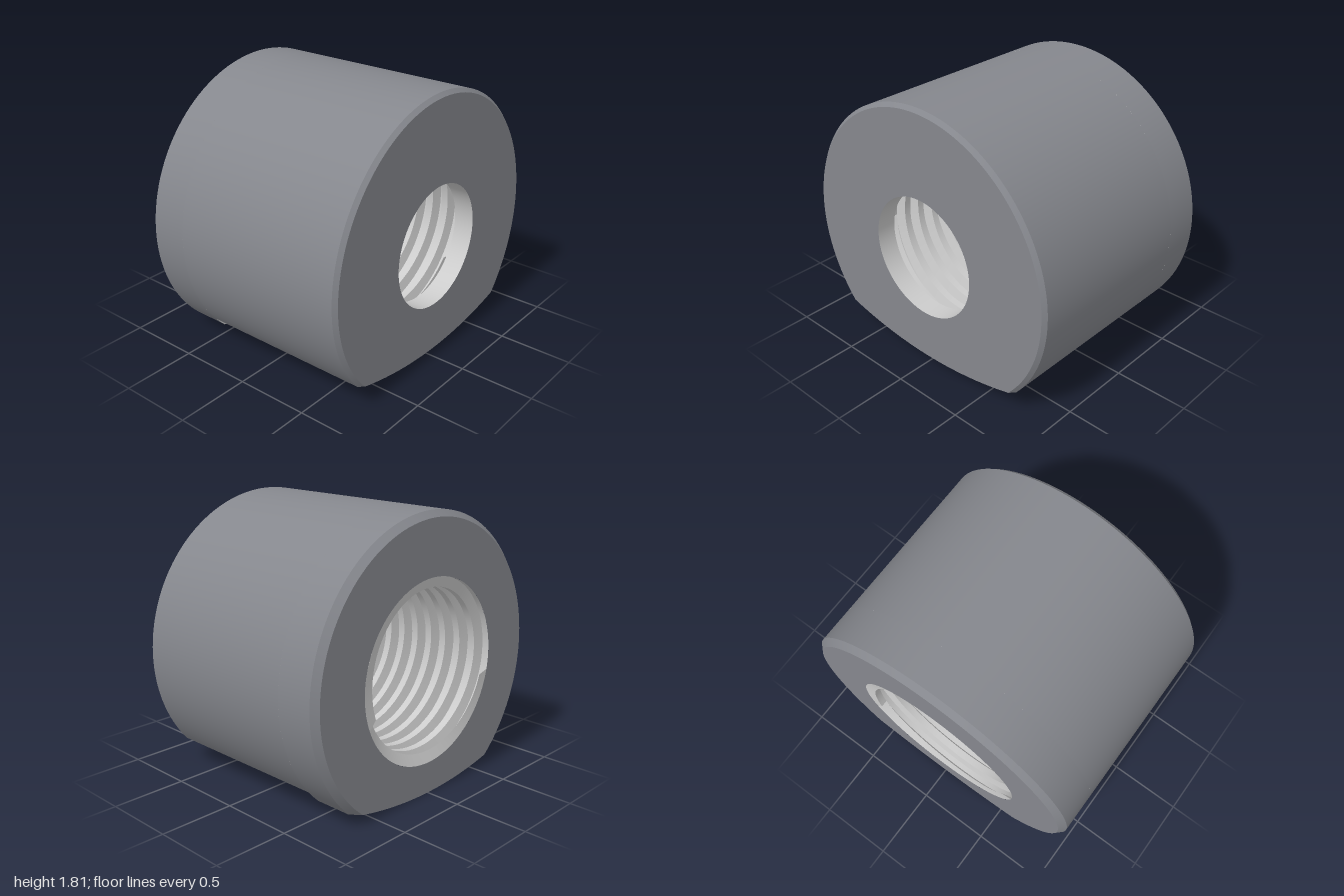
import * as THREE from 'three';
import { toCreasedNormals } from 'three/addons/utils/BufferGeometryUtils.js';

const AXIS_Y = 0.81;     // height of the bore axis
const HALF = 0.765;      // half length along x
const UNDER_R = 2.75;    // radius of the shallow underside
const LIP_R = 0.41, MINOR = 0.53, MAJOR = 0.6;
const LIP_X = 0.63, RELIEF_X = 0.55;

// Joins rings of [x, y, z] points into a surface.
function loft(rings, crease = 0.4) {
  const pos = rings.flat(2), n = rings[0].length, index = [];
  for (let i = 0; i < rings.length - 1; i++) {
    for (let j = 0; j < n - 1; j++) {
      const a = i * n + j, b = a + n;
      index.push(a, b, b + 1, a, b + 1, a + 1);
    }
  }
  const g = new THREE.BufferGeometry();
  g.setAttribute('position', new THREE.Float32BufferAttribute(pos, 3));
  g.setIndex(index);
  return toCreasedNormals(g, crease);
}

// Round outline cut off below by a shallow arc whose lowest point is at y = low.
function outline(x, r, low) {
  const d = UNDER_R + low - AXIS_Y;
  const cy = (r * r - UNDER_R * UNDER_R + d * d) / (2 * d);
  const cz = Math.sqrt(r * r - cy * cy);
  const start = Math.atan2(cy, cz), sweep = Math.PI - 2 * start;
  const pts = [];
  for (let i = 0; i <= 96; i++) {
    const t = start + sweep * i / 96;
    pts.push([x, AXIS_Y + r * Math.sin(t), r * Math.cos(t)]);
  }
  for (let i = 1; i <= 21; i++) {
    const z = -cz + 2 * cz * i / 21;
    pts.push([x, AXIS_Y + d - Math.sqrt(UNDER_R * UNDER_R - z * z), z]);
  }
  return pts;
}

// Circle whose points line up with the rays through an outline's points.
function hole(x, r, low = 0.06) {
  return outline(x, 1, low).map(([, y, z]) => {
    const t = Math.atan2(y - AXIS_Y, z);
    return [x, AXIS_Y + r * Math.sin(t), r * Math.cos(t)];
  });
}

// One ring of the screw thread, advancing by a pitch per turn.
function threadRing(x0, r, pitch) {
  const pts = [];
  for (let j = 0; j <= 96; j++) {
    const t = j / 96 * Math.PI * 2;
    const raw = x0 - pitch * j / 96;
    const x = THREE.MathUtils.clamp(raw, -HALF, RELIEF_X);
    const rr = raw === x ? r : MAJOR;
    pts.push([x, AXIS_Y + rr * Math.sin(t), rr * Math.cos(t)]);
  }
  return pts;
}

export function createModel() {
  const group = new THREE.Group();
  const dark = new THREE.MeshStandardMaterial({ color: 0x85878d });
  const light = new THREE.MeshStandardMaterial({ color: 0xcccccc });
  const add = (name, geometry, material) => {
    const mesh = new THREE.Mesh(geometry, material);
    mesh.name = name;
    group.add(mesh);
  };

  // Deeper end with its chamfer and raised underside pad
  add('padEnd', loft([
    hole(-HALF, MAJOR, 0), outline(-HALF, 0.96, 0),
    outline(-0.725, 1, 0), outline(-0.47, 1, 0),
  ]), dark);

  // Step down from the pad
  add('padStep', loft([outline(-0.47, 1, 0), outline(-0.47, 1, 0.06)]), light);

  // Main barrel, small chamfer and end face
  add('barrel', loft([
    outline(-0.47, 1, 0.06), outline(0.74, 1, 0.06),
    outline(HALF, 0.975, 0.06), hole(HALF, LIP_R),
  ]), dark);

  // Plain narrow bore, shoulder and thread relief
  add('boreLip', loft([
    hole(HALF, LIP_R), hole(LIP_X, LIP_R),
    hole(LIP_X, MAJOR), hole(RELIEF_X, MAJOR),
  ]), light);

  // Trapezoidal internal thread
  const pitch = 0.12, rings = [];
  const profile = [[0, MINOR], [0.4, MINOR], [0.55, MAJOR], [0.85, MAJOR]];
  const turns = Math.ceil((RELIEF_X + HALF) / pitch) + 2;
  for (let k = 0; k < turns; k++) {
    for (const [f, r] of profile) {
      rings.push(threadRing(RELIEF_X + pitch * (1 - k - f), r, pitch));
    }
  }
  add('boreThread', loft(rings), light);

  return group;
}
